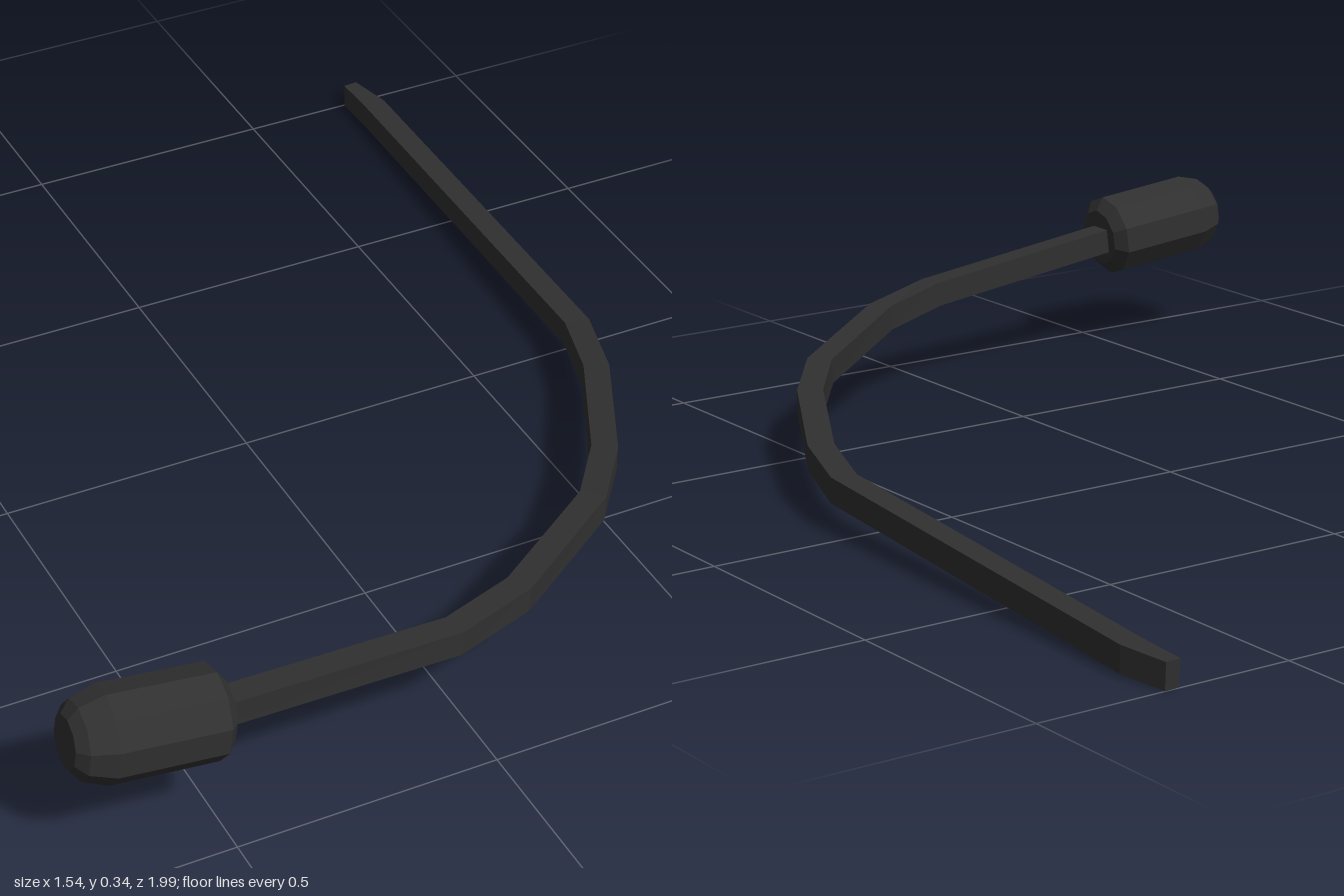
import * as THREE from 'three';

// Sweeps a rectangular section along a bent path; rows are [x, y, z, width, height]
function sweepBar(rows) {
  const pts = rows.map(r => new THREE.Vector3(r[0], r[1], r[2]));
  const up = new THREE.Vector3(0, 1, 0);
  const pos = [], idx = [];
  const last = pts.length - 1;
  pts.forEach((p, i) => {
    const before = pts[i].clone().sub(pts[Math.max(i - 1, 0)]).normalize();
    const after = pts[Math.min(i + 1, last)].clone().sub(p).normalize();
    const dir = before.add(after).normalize();
    const side = dir.clone().cross(up).normalize();
    const top = side.clone().cross(dir);
    for (const [a, b] of [[-1, -1], [1, -1], [1, 1], [-1, 1]]) {
      const v = p.clone().addScaledVector(side, a * rows[i][3] / 2).addScaledVector(top, b * rows[i][4] / 2);
      pos.push(v.x, v.y, v.z);
    }
  });
  for (let i = 0; i < last; i++) {
    for (let k = 0; k < 4; k++) {
      const a = i * 4 + k, b = i * 4 + (k + 1) % 4;
      idx.push(a, b + 4, b, a, a + 4, b + 4);
    }
  }
  const e = last * 4;
  idx.push(0, 1, 2, 0, 2, 3, e, e + 2, e + 1, e, e + 3, e + 2);
  // orient faces outward: side x top points back along the path
  for (let i = 0; i < idx.length; i += 3) [idx[i + 1], idx[i + 2]] = [idx[i + 2], idx[i + 1]];
  const g = new THREE.BufferGeometry();
  g.setAttribute('position', new THREE.Float32BufferAttribute(pos, 3));
  g.setIndex(idx);
  const flat = g.toNonIndexed();
  flat.computeVertexNormals();
  return flat;
}

export function createModel() {
  const group = new THREE.Group();
  group.name = 'microphoneBoom';
  const black = new THREE.MeshStandardMaterial({ color: 0x303030, flatShading: true, side: THREE.DoubleSide });
  black.name = 'matte black';

  // Curved boom arm, narrowing at its rear tip
  const arm = new THREE.Mesh(sweepBar([
    [0.736, 0.03, -1.0, 0.03, 0.05],
    [0.744, 0.035, -0.9, 0.048, 0.05],
    [0.7, 0.083, 0.05, 0.05, 0.05],
    [0.65, 0.097, 0.21, 0.05, 0.05],
    [0.515, 0.125, 0.47, 0.05, 0.05],
    [0.41, 0.143, 0.605, 0.05, 0.05],
    [0.145, 0.175, 0.8, 0.05, 0.05],
    [-0.02, 0.19, 0.865, 0.05, 0.05],
    [-0.55, 0.242, 0.908, 0.05, 0.05],
  ]), black);
  arm.name = 'boomArm';
  group.add(arm);

  // Ten-sided foam windscreen with bevelled ends
  const start = new THREE.Vector3(-0.767, 0.268, 0.902);
  const end = new THREE.Vector3(-0.483, 0.238, 0.91);
  const length = start.distanceTo(end);
  const profile = [
    [0, 0], [0.048, 0], [0.07, 0.018], [0.086, 0.065],
    [0.085, length - 0.02], [0.06, length], [0, length],
  ].map(([r, h]) => new THREE.Vector2(r, h));
  const foam = new THREE.Mesh(new THREE.LatheGeometry(profile, 10, Math.PI / 2), black);
  foam.name = 'foamWindscreen';
  foam.position.copy(start);
  foam.quaternion.setFromUnitVectors(new THREE.Vector3(0, 1, 0), end.clone().sub(start).normalize());
  group.add(foam);

  return group;
}
